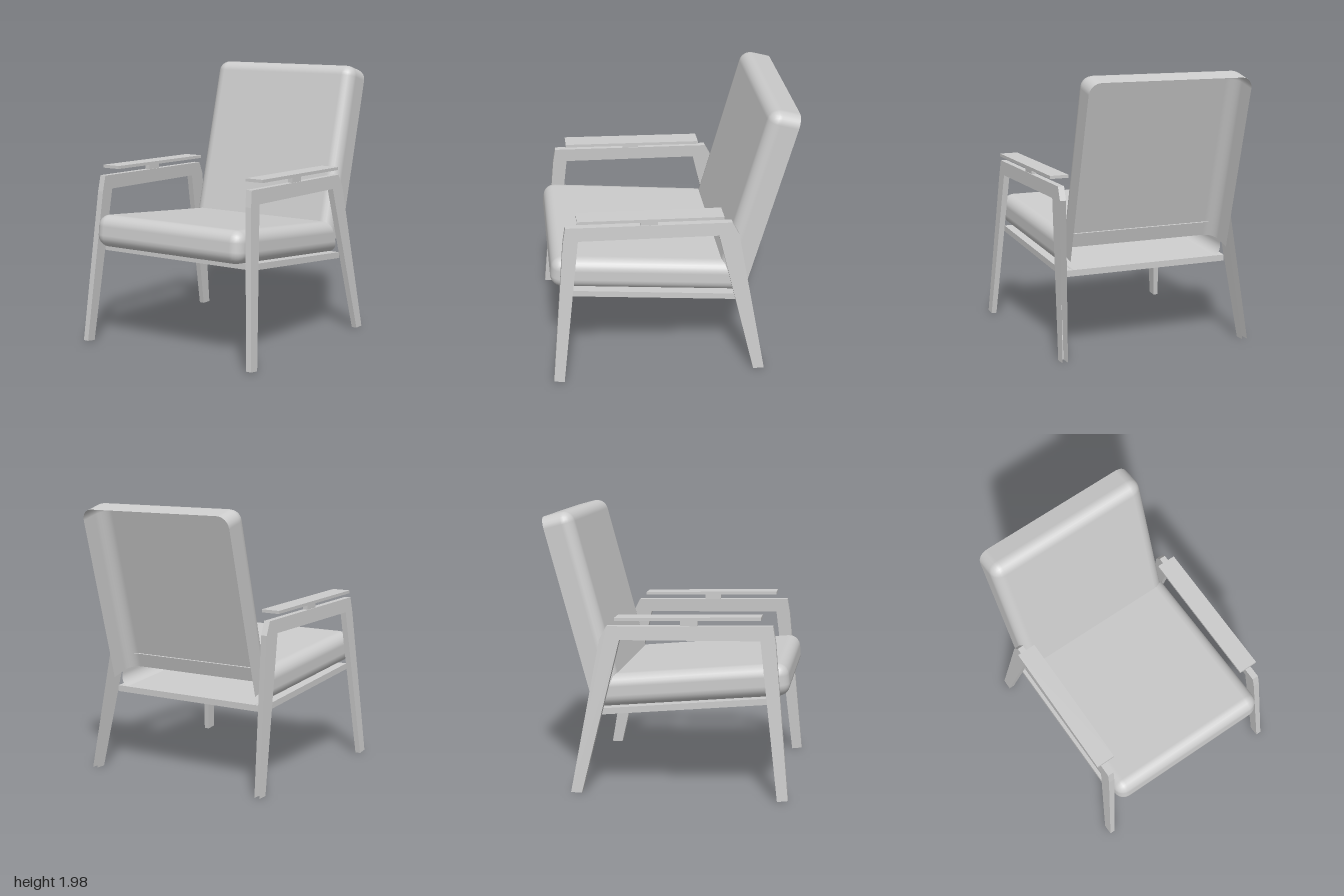
import * as THREE from 'three';
import { RoundedBoxGeometry } from 'three/addons/geometries/RoundedBoxGeometry.js';

const grey = new THREE.MeshStandardMaterial({ color: 0xcccccc, side: THREE.DoubleSide });

function part(name, geometry) {
  const mesh = new THREE.Mesh(geometry, grey);
  mesh.name = name;
  return mesh;
}

// Removes every triangle whose three corners all pass the test
function openUp(geometry, test) {
  const src = geometry.index ? geometry.toNonIndexed() : geometry;
  const p = src.attributes.position, n = src.attributes.normal;
  const pos = [], nor = [];
  for (let i = 0; i < p.count; i += 3) {
    const corners = [i, i + 1, i + 2];
    if (corners.every(k => test(p.getX(k), p.getY(k), p.getZ(k)))) continue;
    for (const k of corners) {
      pos.push(p.getX(k), p.getY(k), p.getZ(k));
      nor.push(n.getX(k), n.getY(k), n.getZ(k));
    }
  }
  const out = new THREE.BufferGeometry();
  out.setAttribute('position', new THREE.Float32BufferAttribute(pos, 3));
  out.setAttribute('normal', new THREE.Float32BufferAttribute(nor, 3));
  return out;
}

// Rounded cushion shell, open at the rear and optionally at the bottom
function cushion(w, h, d, r, openBottom) {
  const extra = openBottom ? r : 0;
  const geo = new RoundedBoxGeometry(w, h + extra, d + r, 3, r);
  geo.translate(0, -extra / 2, -r / 2);
  const e = 1e-4;
  let shell = openUp(geo, (x, y, z) => z < -d / 2 + e);
  if (openBottom) shell = openUp(shell, (x, y) => y < -h / 2 + e);
  return shell;
}

// Slab following a slope: y is the top height at the front and the rear
function slopedSlab(width, zFront, yFront, zRear, yRear, thickness) {
  const geo = new THREE.BoxGeometry(width, thickness, zFront - zRear);
  geo.translate(0, -thickness / 2, (zFront + zRear) / 2);
  const p = geo.attributes.position;
  for (let i = 0; i < p.count; i++) {
    const t = (p.getZ(i) - zRear) / (zFront - zRear);
    p.setY(i, p.getY(i) + THREE.MathUtils.lerp(yRear, yFront, t));
  }
  geo.computeVertexNormals();
  return geo;
}

// One side frame: front leg, top rail and rear leg, splayed outwards
function frameGeometry() {
  const outline = [ // [z, y]
    [0.89, 0.01], [0.785, 1.11], [0.765, 1.225], [-0.405, 1.195], [-0.455, 1.10],
    [-0.655, 0], [-0.575, 0], [-0.312, 1.10], [0.68, 1.12], [0.815, 0],
  ];
  const shape = new THREE.Shape(outline.map(([z, y]) => new THREE.Vector2(-z, y)));
  const geo = new THREE.ExtrudeGeometry(shape, { depth: 1, bevelEnabled: false });
  const p = geo.attributes.position;
  for (let i = 0; i < p.count; i++) {
    const z = -p.getX(i), y = p.getY(i), t = p.getZ(i);
    p.setXYZ(i, THREE.MathUtils.lerp(0.695 - 0.07 * y, 0.735 - 0.065 * y, t), y, z);
  }
  geo.computeVertexNormals();
  // the rear leg is hollow at its back and foot
  const back = openUp(geo, (x, y, z) => z < -0.44 && Math.abs(z + 0.575) > 0.01);
  return openUp(back, (x, y, z) => y < 0.005 && z < 0);
}

export function createModel() {
  const chair = new THREE.Group();
  chair.name = 'armchair';

  // Seat cushion, its open rear edge leaning with the backrest
  const seatGeo = cushion(1.26, 0.233, 1.29, 0.085, false);
  const p = seatGeo.attributes.position;
  for (let i = 0; i < p.count; i++) {
    if (p.getZ(i) < -0.6) p.setZ(i, p.getZ(i) + 0.45 * p.getY(i));
  }
  const seat = part('seatCushion', seatGeo);
  seat.position.set(0, 0.78, 0.235);
  seat.rotation.x = -0.095;
  chair.add(seat);

  // Backrest cushion
  const back = part('backCushion', cushion(1.235, 1.313, 0.215, 0.085, true));
  back.position.set(0, 1.34, -0.598);
  back.rotation.x = -0.267;
  chair.add(back);

  // Board under the seat
  chair.add(part('seatBoard', slopedSlab(1.29, 0.735, 0.715, -0.45, 0.6, 0.045)));

  // Frames with armrests on both sides
  for (const side of [1, -1]) {
    const group = new THREE.Group();
    group.name = side > 0 ? 'leftSide' : 'rightSide';
    group.add(part('legFrame', frameGeometry()));

    const arm = part('armrest', slopedSlab(0.14, 0.685, 1.29, -0.34, 1.262, 0.022));
    arm.position.x = 0.62;
    group.add(arm);

    const post = part('armrestPost', new THREE.BoxGeometry(0.035, 0.065, 0.12));
    post.position.set(0.633, 1.23, 0.18);
    group.add(post);

    group.scale.x = side;
    chair.add(group);
  }
  return chair;
}
